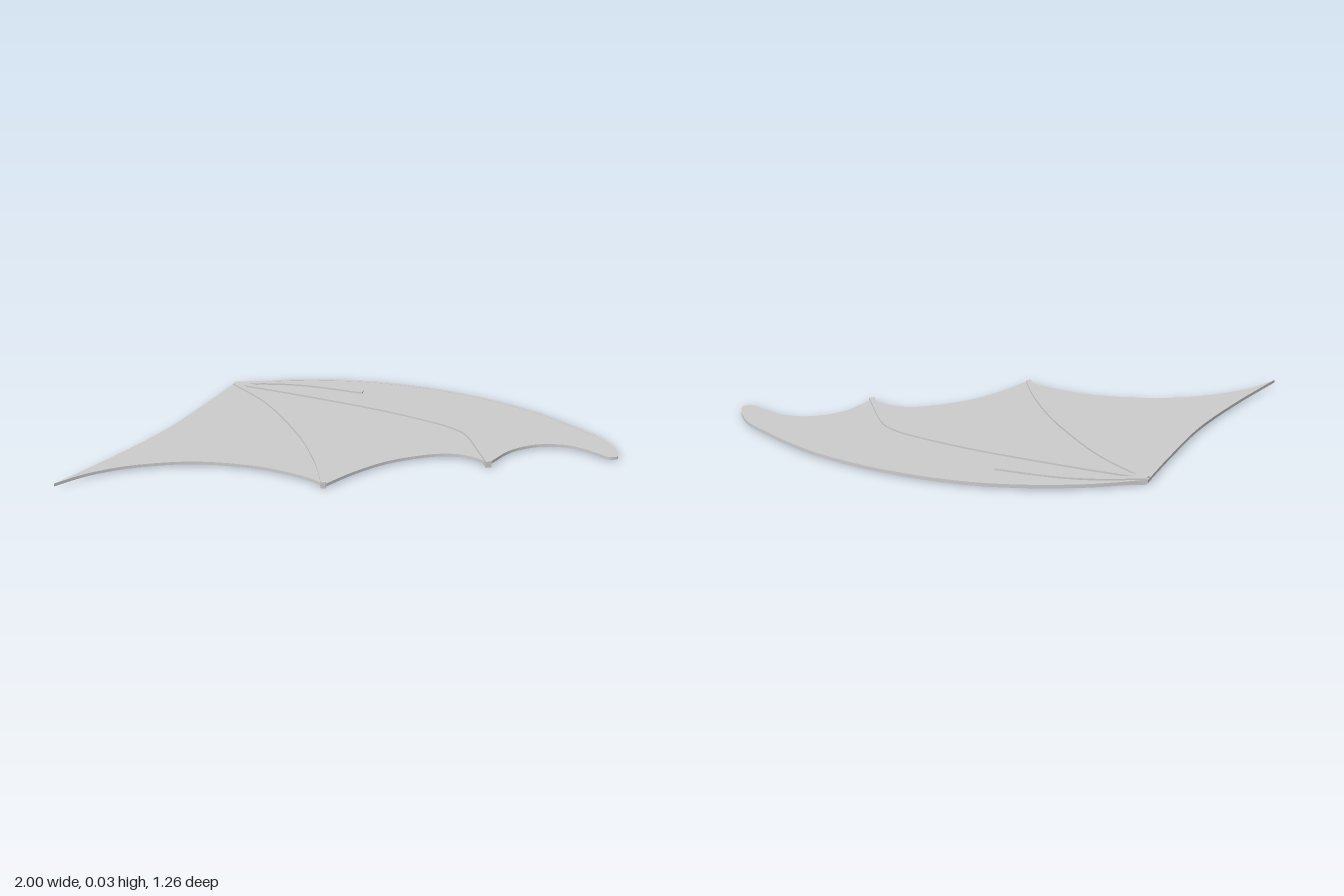
import * as THREE from 'three';

const material = new THREE.MeshStandardMaterial({ color: 0xcccccc });

// Smooth run of plan points [x, z], as shape points (x, -z)
function smooth(points, divisions = 40) {
  return new THREE.SplineCurve(points.map(([x, z]) => new THREE.Vector2(x, -z))).getPoints(divisions);
}

// Flat slab lying between heights y0 and y1
function slab(name, outline, y0, y1) {
  const geometry = new THREE.ExtrudeGeometry(new THREE.Shape(outline), { depth: y1 - y0, bevelEnabled: false });
  geometry.rotateX(-Math.PI / 2).translate(0, y0, 0);
  const mesh = new THREE.Mesh(geometry, material);
  mesh.name = name;
  return mesh;
}

// Narrow rib of constant width following a centre line
function rib(name, points, width, y0, y1) {
  const line = smooth(points, 48);
  const left = [], right = [];
  line.forEach((p, i) => {
    const a = line[Math.max(i - 1, 0)], b = line[Math.min(i + 1, line.length - 1)];
    const t = b.clone().sub(a).normalize();
    const n = new THREE.Vector2(-t.y, t.x).multiplyScalar(width / 2);
    left.push(p.clone().add(n));
    right.push(p.clone().sub(n));
  });
  return slab(name, [...right, ...left.reverse()], y0, y1);
}

export function createModel() {
  const wing = new THREE.Group();
  wing.name = 'wing';

  // Membrane outline: leading edge with rounded tip, three scallops, inner edge
  const edges = [
    [[-0.68, -0.435], [-0.45, -0.54], [-0.18, -0.615], [0.07, -0.634], [0.35, -0.607], [0.62, -0.53],
      [0.885, -0.39], [0.97, -0.305], [1, -0.24], [0.99, -0.22], [0.96, -0.214], [0.915, -0.235],
      [0.8, -0.267], [0.68, -0.238], [0.59, -0.158], [0.545, -0.06], [0.53, -0.025]],
    [[0.53, -0.025], [0.48, -0.05], [0.4, -0.062], [0.3, -0.03], [0.16, 0.07], [0.055, 0.2], [-0.02, 0.33]],
    [[-0.02, 0.33], [-0.13, 0.29], [-0.32, 0.268], [-0.56, 0.302], [-0.77, 0.398], [-0.91, 0.51], [-1, 0.63]],
    [[-1, 0.63], [-0.88, 0.35], [-0.78, 0.067], [-0.72, -0.21], [-0.68, -0.435]],
  ];
  const outline = edges.flatMap((e) => smooth(e, e.length * 8).slice(0, -1));
  wing.add(slab('membrane', outline, 0.007, 0.019));

  // Thin spar just inside the leading edge
  wing.add(rib('leadingSpar', [[-0.66, -0.438], [-0.45, -0.535], [-0.18, -0.609], [0.07, -0.628],
    [0.35, -0.601], [0.62, -0.524], [0.88, -0.387]], 0.012, 0.006, 0.02));

  // Finger bones fanning out from the wrist, raised on both faces
  wing.add(rib('innerFinger', [[-0.675, -0.425], [-0.465, -0.277], [-0.25, -0.045], [-0.11, 0.16],
    [-0.025, 0.33]], 0.022, 0, 0.026));
  wing.add(rib('middleFinger', [[-0.675, -0.425], [-0.4, -0.405], [-0.03, -0.365], [0.24, -0.312],
    [0.35, -0.272], [0.41, -0.22], [0.47, -0.125], [0.532, -0.022]], 0.022, 0, 0.026));
  wing.add(rib('shortFinger', [[-0.675, -0.425], [-0.51, -0.478], [-0.345, -0.502], [-0.125, -0.5]], 0.022, 0, 0.026));

  return wing;
}
